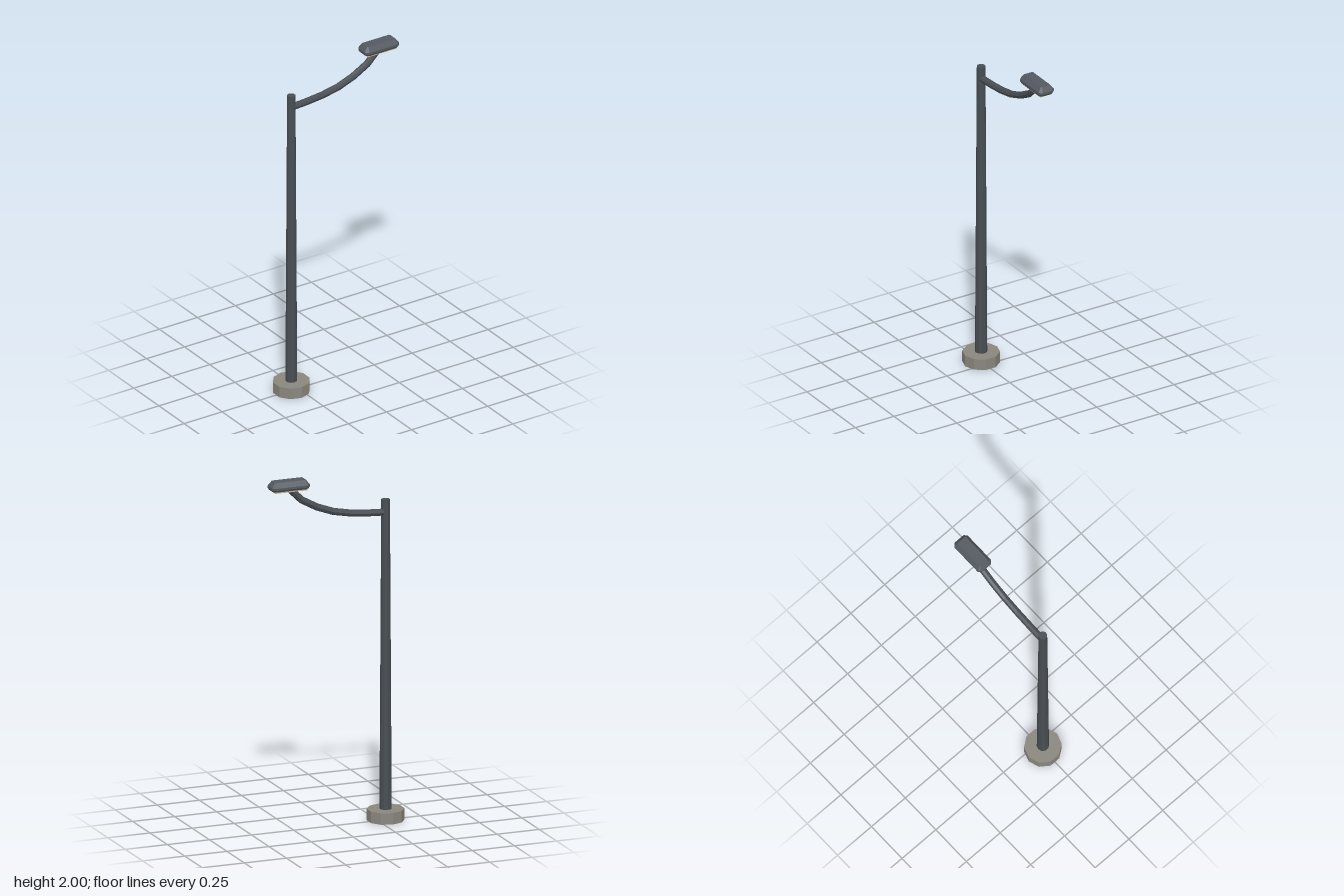
import * as THREE from 'three';

const flat = (color) => new THREE.MeshStandardMaterial({ color, flatShading: true });

// Closed solid lofted through chamfered rectangles, each [y, halfX, halfZ, chamfer]
function chamferedLoft(rings) {
  const pos = [];
  const loops = rings.map(([y, a, b, c]) => [
    [a, b - c], [a, c - b], [a - c, -b], [c - a, -b],
    [-a, c - b], [-a, b - c], [c - a, b], [a - c, b],
  ].map(([x, z]) => [x, y, z]));
  const tri = (...corners) => corners.forEach((p) => pos.push(...p));
  for (let r = 0; r < loops.length - 1; r++) {
    const lo = loops[r], hi = loops[r + 1];
    for (let i = 0; i < 8; i++) {
      const j = (i + 1) % 8;
      tri(lo[i], lo[j], hi[j]);
      tri(lo[i], hi[j], hi[i]);
    }
  }
  const bottom = loops[0], top = loops[loops.length - 1];
  for (let i = 1; i < 7; i++) {
    tri(top[0], top[i], top[i + 1]);
    tri(bottom[0], bottom[i + 1], bottom[i]);
  }
  const geo = new THREE.BufferGeometry();
  geo.setAttribute('position', new THREE.Float32BufferAttribute(pos, 3));
  geo.computeVertexNormals();
  return geo;
}

export function createModel() {
  const model = new THREE.Group();
  const metal = flat(0x484e54);
  const concrete = flat(0x8a877e);
  const housingMat = flat(0x555a62);
  const glass = flat(0xc8b48c);
  const poleX = -0.295, lampX = 0.28;

  const add = (name, geometry, material, x, y) => {
    const mesh = new THREE.Mesh(geometry, material);
    mesh.name = name;
    mesh.position.set(x, y, 0);
    model.add(mesh);
  };

  // Ten-sided footing and tapered pole
  add('base', new THREE.CylinderGeometry(0.104, 0.104, 0.065, 10), concrete, poleX, 0.0325);
  add('pole', new THREE.CylinderGeometry(0.024, 0.034, 1.79, 10), metal, poleX, 0.935);

  // Arm sweeping up from the pole into the lamp
  const path = new THREE.CatmullRomCurve3([
    [poleX, 1.756], [-0.135, 1.767], [0, 1.789], [0.114, 1.83], [0.204, 1.88], [0.278, 1.953],
  ].map(([x, y]) => new THREE.Vector3(x, y, 0)));
  add('arm', new THREE.TubeGeometry(path, 6, 0.02, 8), metal, 0, 0);

  // Lamp head with bevelled edges, and the light panel beneath it
  add('lampHousing', chamferedLoft([
    [1.95, 0.105, 0.043, 0.014],
    [1.961, 0.112, 0.049, 0.016],
    [1.973, 0.112, 0.049, 0.016],
    [2.0, 0.092, 0.03, 0.006],
  ]), housingMat, lampX, 0);
  add('lightPanel', new THREE.BoxGeometry(0.19, 0.012, 0.076), glass, lampX, 1.948);

  return model;
}
